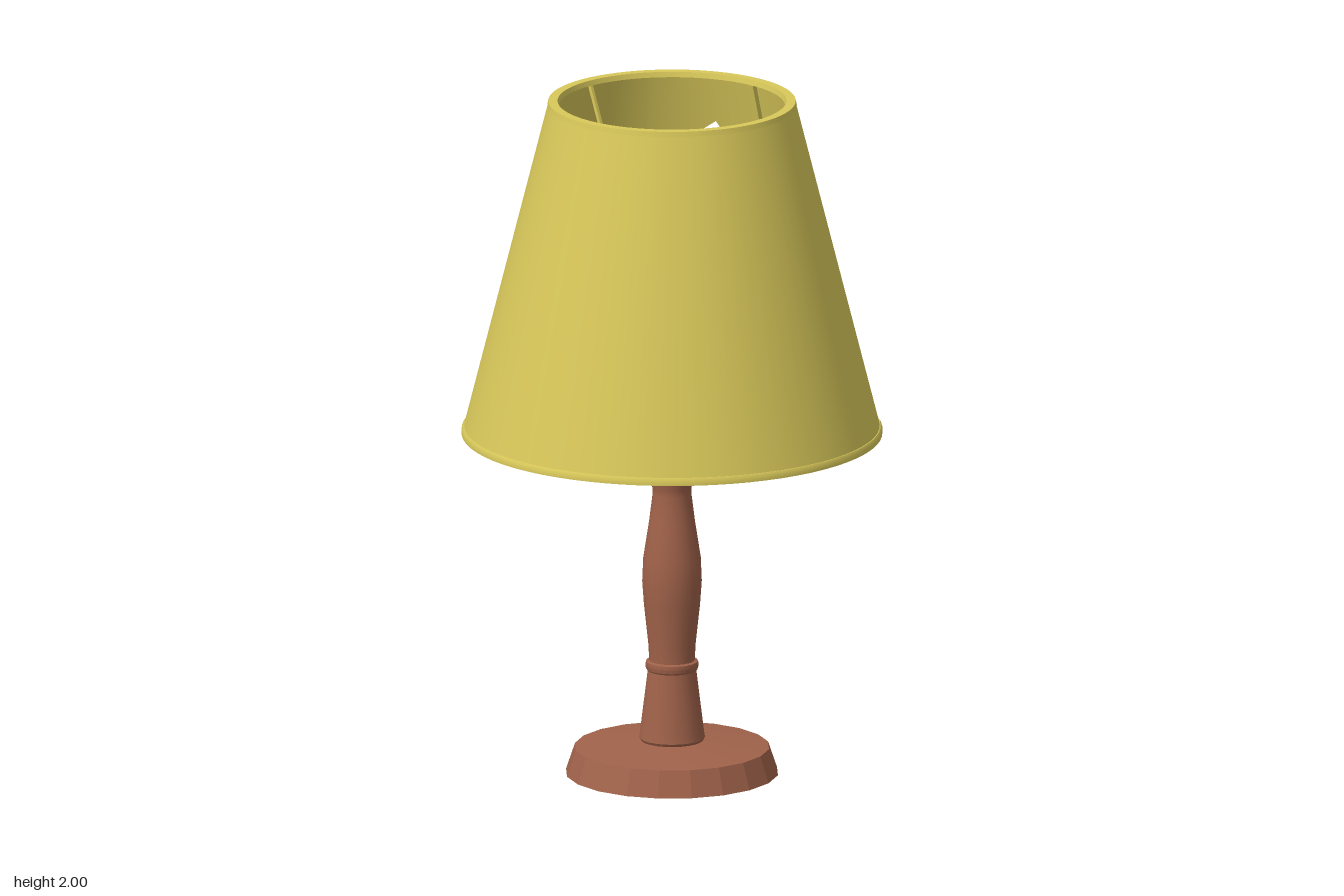
import * as THREE from 'three';
import { toCreasedNormals } from 'three/addons/utils/BufferGeometryUtils.js';

const BOTTOM = 1.02, TOP = 1.99, THICKNESS = 0.012;
const shadeRadius = (y) => 0.86 - 0.2525 * y;

// Torn holes in the shade: [degrees from the back towards the left, height]
const HOLES = [
  [[66, 1.845], [36.3, 1.71], [48.8, 1.69], [53.4, 1.645], [58.3, 1.635], [64.6, 1.56], [66.3, 1.68], [79.4, 1.69]],
  [[-22, 1.535], [-14.3, 1.37], [-29.6, 1.29], [-8.6, 1.172], [-3, 1.305], [16.9, 1.357], [9.4, 1.51], [-15, 1.5]],
];

function shadePoint(degrees, y, inset = 0) {
  const a = THREE.MathUtils.degToRad(degrees), r = shadeRadius(y) - inset;
  return new THREE.Vector3(r * Math.sin(a), y, -r * Math.cos(a));
}

// Conical wall in narrow columns, each cut by the hole edges that cross it
function tornWall() {
  const pos = [];
  const quad = (a, b, c, d) => [a, b, c, a, c, d].forEach((p) => pos.push(p.x, p.y, p.z));

  const edges = HOLES.flatMap((hole) => hole.map((p, i) => {
    const q = hole[(i + 1) % hole.length];
    return p[0] < q[0] ? [p, q] : [q, p];
  }));
  const angles = HOLES.flat().map((p) => p[0]);
  for (let a = -180; a <= 180; a += 5) angles.push(a);
  const columns = [...new Set(angles)].sort((a, b) => a - b);
  const heightAt = ([p, q], a) => p[1] + (q[1] - p[1]) * (a - p[0]) / (q[0] - p[0]);

  for (let i = 0; i < columns.length - 1; i++) {
    const a0 = columns[i], a1 = columns[i + 1], mid = (a0 + a1) / 2;
    const cuts = edges
      .filter(([p, q]) => p[0] < mid && q[0] > mid)
      .map((e) => [heightAt(e, a0), heightAt(e, a1)])
      .sort((s, t) => s[0] + s[1] - t[0] - t[1]);
    const levels = [[BOTTOM, BOTTOM], ...cuts, [TOP, TOP]];
    for (let k = 0; k < levels.length; k += 2) {
      const corners = (inset, [y0, y1]) => [shadePoint(a0, y0, inset), shadePoint(a1, y1, inset)];
      const [lo0, lo1] = corners(0, levels[k]);
      const [hi0, hi1] = corners(0, levels[k + 1]);
      const [inLo0, inLo1] = corners(THICKNESS, levels[k]);
      const [inHi0, inHi1] = corners(THICKNESS, levels[k + 1]);
      quad(lo1, lo0, hi0, hi1);
      quad(inLo0, inLo1, inHi1, inHi0);
      quad(hi1, hi0, inHi0, inHi1);
      quad(inLo1, inLo0, lo0, lo1);
    }
  }
  const geo = new THREE.BufferGeometry();
  geo.setAttribute('position', new THREE.Float32BufferAttribute(pos, 3));
  return toCreasedNormals(geo, 0.5);
}

function turned(profile, sides, crease = 0.6) {
  const points = profile.map(([r, y]) => new THREE.Vector2(r, y));
  return toCreasedNormals(new THREE.LatheGeometry(points, sides), crease);
}

// Bar with a rectangular section running from one point to another
function addBar(group, name, from, to, width, depth, material) {
  const bar = new THREE.Mesh(new THREE.BoxGeometry(width, depth, from.distanceTo(to)), material);
  bar.name = name;
  bar.position.copy(from).lerp(to, 0.5);
  bar.lookAt(to);
  group.add(bar);
}

export function createModel() {
  const model = new THREE.Group();
  model.name = 'tableLamp';
  const wood = new THREE.MeshStandardMaterial({ color: 0xa0624a });
  const fabric = new THREE.MeshStandardMaterial({ color: 0xd8c85a });

  const add = (name, geometry, material) => {
    const mesh = new THREE.Mesh(geometry, material);
    mesh.name = name;
    model.add(mesh);
  };

  // Faceted foot
  add('base', turned([[0, 0], [0.308, 0], [0.282, 0.077], [0.09, 0.097], [0, 0.097]], 20, 0.2), wood);

  // Turned column with a ring, a belly and a collar, carrying the lamp holder
  add('post', turned([
    [0, 0.09], [0.088, 0.093], [0.095, 0.105], [0.092, 0.125], [0.07, 0.305],
    [0.075, 0.31], [0.077, 0.32], [0.075, 0.332], [0.066, 0.335],
    [0.068, 0.38], [0.081, 0.5], [0.086, 0.57], [0.083, 0.64], [0.066, 0.75], [0.056, 0.83],
    [0.057, 0.85], [0.068, 0.885], [0.075, 0.92], [0.073, 0.95], [0.068, 0.962],
    [0.084, 0.968], [0.09, 0.985], [0.086, 1.008], [0.07, 1.012],
    [0.06, 1.03], [0.058, 1.08], [0.07, 1.15], [0.078, 1.2], [0.078, 1.24], [0.05, 1.245],
    [0.05, 1.3], [0.032, 1.3], [0.032, 1.28], [0, 1.28],
  ], 24), wood);

  // Shade wall and its rolled rims
  add('shade', tornWall(), fabric);
  add('bottomRim', turned([
    [0.57, 1.01], [0.607, 1.01], [0.607, 1.024], [0.602, 1.032], [0.575, 1.032], [0.57, 1.01],
  ], 72), fabric);
  add('topRim', turned([
    [0.326, 1.985], [0.36, 1.985], [0.357, 2], [0.33, 2], [0.326, 1.985],
  ], 72), fabric);

  // Ring on the holder, with a sloping spoke to the front and back of the top rim
  add('holderRing', turned([
    [0.05, 1.25], [0.075, 1.25], [0.075, 1.275], [0.05, 1.275], [0.05, 1.25],
  ], 24), fabric);
  for (const side of [1, -1]) {
    addBar(model, 'spoke', new THREE.Vector3(0.01, 1.262, 0.07 * side),
      new THREE.Vector3(0.01, 1.985, 0.333 * side), 0.01, 0.01, fabric);
    // Upright strips lining the shade at the sides
    addBar(model, 'liningStrip', shadePoint(90 * side, 1.03, 0.014),
      shadePoint(90 * side, 1.985, 0.014), 0.012, 0.025, fabric);
  }
  return model;
}
